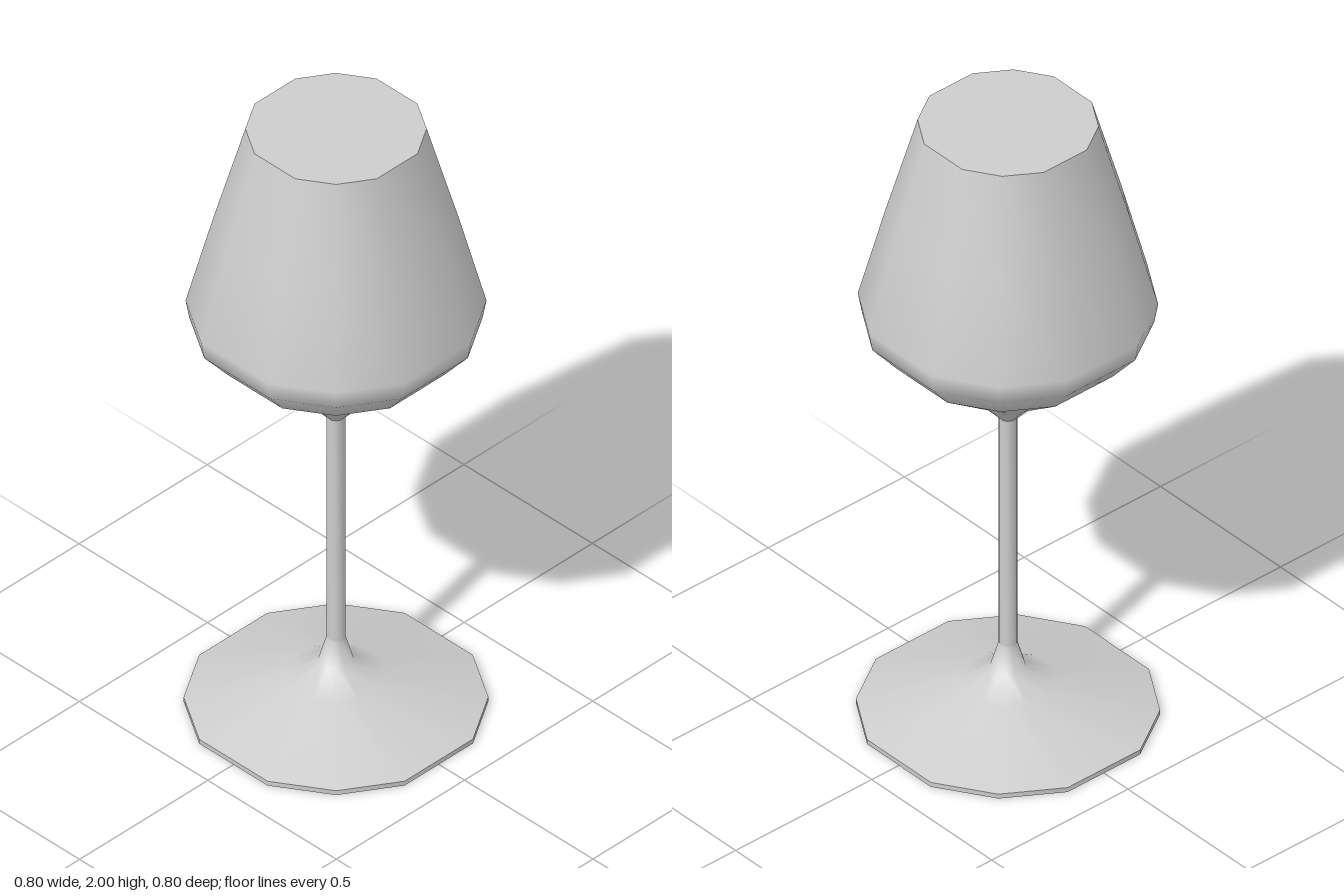
import * as THREE from 'three';
import { mergeVertices } from 'three/addons/utils/BufferGeometryUtils.js';

const SIDES = 12;
const START = Math.PI / SIDES;

// Turn a round ring into a slightly squared twelve-sided one; radius becomes half-width
function squareRing(geo) {
  const pos = geo.attributes.position;
  const remap = (v) => {
    const a = Math.abs(v);
    return Math.sign(v) * (a > 0.85 ? 1 : a > 0.5 ? 0.742 : 0.333);
  };
  for (let i = 0; i < pos.count; i++) {
    const x = pos.getX(i), z = pos.getZ(i), r = Math.hypot(x, z);
    if (r < 1e-6) continue;
    pos.setX(i, r * remap(x / r));
    pos.setZ(i, r * remap(z / r));
  }
  return geo;
}

export function createModel() {
  const group = new THREE.Group();
  const glass = new THREE.MeshStandardMaterial({ color: 0xcccccc });
  glass.name = 'pale grey';

  const add = (name, geo) => {
    const mesh = new THREE.Mesh(geo, glass);
    mesh.name = name;
    group.add(mesh);
  };

  // Smooth shell from a profile of [half-width, height], bottom to top
  const shell = (name, profile) => {
    const pts = profile.map(([r, y]) => new THREE.Vector2(r, y));
    let geo = squareRing(new THREE.LatheGeometry(pts, SIDES, START));
    geo.deleteAttribute('normal');
    geo.deleteAttribute('uv');
    geo = mergeVertices(geo, 1e-4);
    geo.computeVertexNormals();
    add(name, geo);
  };

  // Flat closing face
  const disc = (name, r, y, up) => {
    const geo = new THREE.CircleGeometry(r, SIDES, START);
    geo.rotateX(up ? -Math.PI / 2 : Math.PI / 2).translate(0, y, 0);
    add(name, squareRing(geo));
  };

  // Foot
  disc('footBottom', 0.4, 0, false);
  shell('footRim', [[0.4, 0], [0.4, 0.015]]);
  shell('foot', [[0.4, 0.015], [0.13, 0.1], [0.047, 0.15], [0.025, 0.23]]);

  // Stem
  shell('stem', [[0.025, 0.23], [0.025, 1]]);

  // Bowl, closed at the rim
  shell('bowl', [
    [0.025, 1], [0.1, 1.085], [0.315, 1.255], [0.385, 1.34],
    [0.395, 1.4], [0.322, 1.69], [0.238, 2],
  ]);
  disc('bowlTop', 0.238, 2, true);

  return group;
}
